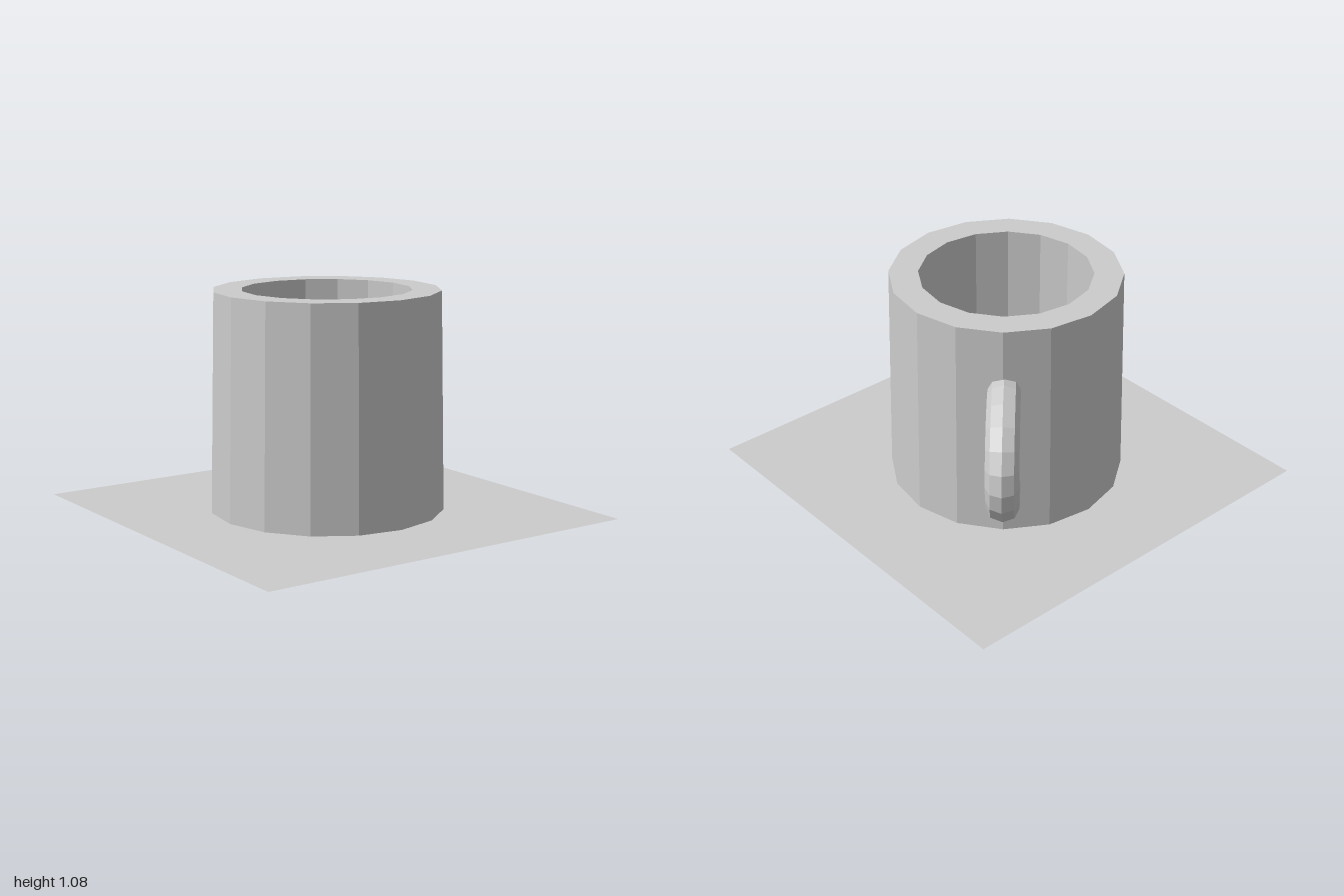
import * as THREE from 'three';

export function createModel() {
  const model = new THREE.Group();
  const grey = new THREE.MeshStandardMaterial({ color: 0xcccccc, flatShading: true });
  const thin = new THREE.MeshStandardMaterial({ color: 0xcccccc, side: THREE.DoubleSide });

  const add = (name, geometry, material) => {
    const mesh = new THREE.Mesh(geometry, material);
    mesh.name = name;
    model.add(mesh);
    return mesh;
  };

  // Flat square the mug stands on
  add('tabletop', new THREE.PlaneGeometry(2, 2).rotateX(-Math.PI / 2), thin);

  // Sixteen-sided body, slightly tapered, with a thick rim and a straight well
  const profile = [
    [0, 0.005], [0.577, 0.005], [0.555, 1.08],
    [0.415, 1.08], [0.415, 0.12], [0, 0.12],
  ].map(([r, y]) => new THREE.Vector2(r, y));
  const turn = THREE.MathUtils.degToRad(2.4);
  const body = add('mugBody', new THREE.LatheGeometry(profile, 16, turn), grey);
  body.position.set(-0.003, 0, -0.003);

  // Full ring handle, squashed in height, passing through the wall
  const handle = add('handle', new THREE.TorusGeometry(0.333, 0.076, 8, 20), grey);
  handle.scale.y = 0.785;
  handle.rotation.y = THREE.MathUtils.degToRad(47.4);
  handle.position.set(0.413, 0.525, -0.463);

  return model;
}
